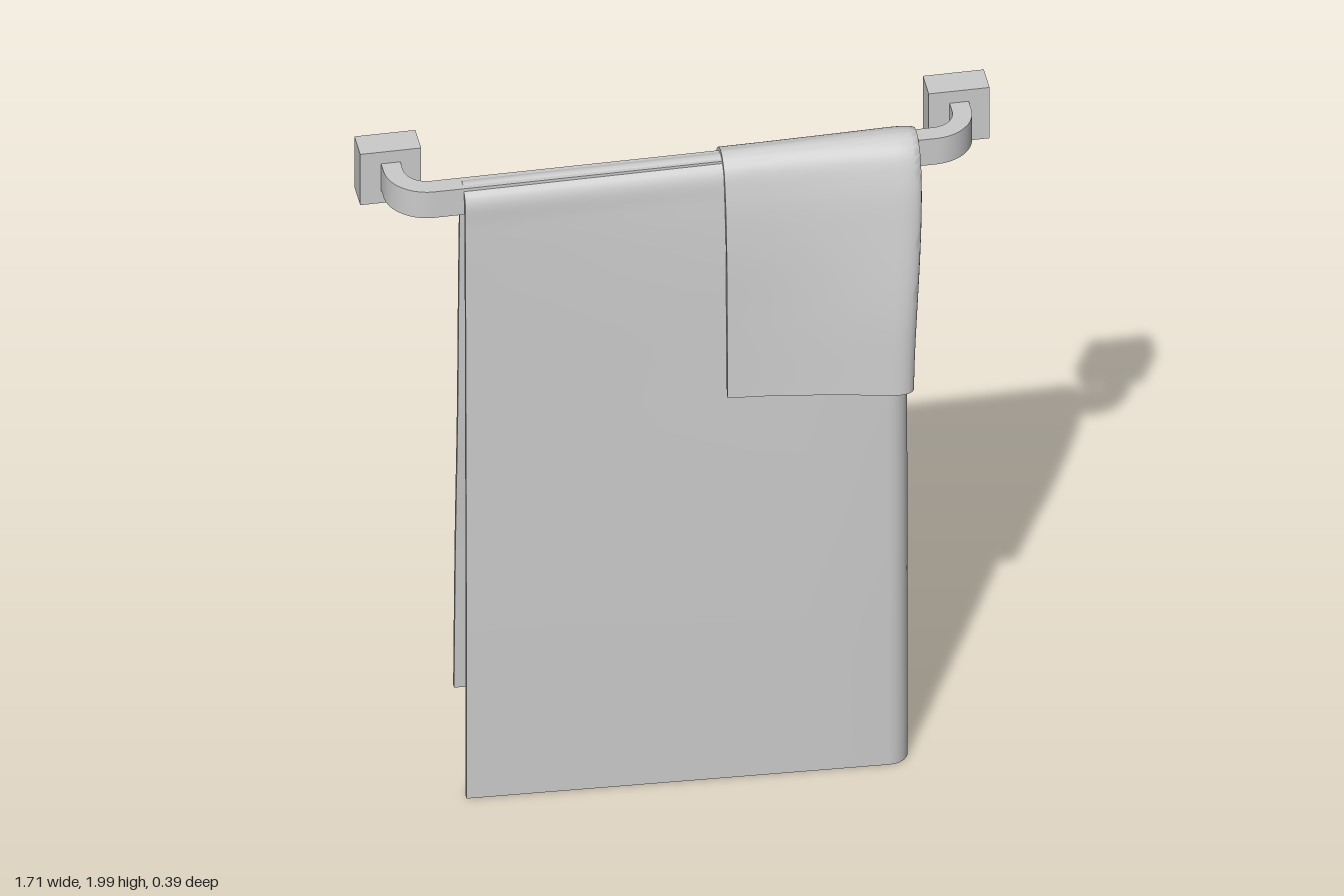
import * as THREE from 'three';
import { mergeGeometries, toCreasedNormals } from 'three/addons/utils/BufferGeometryUtils.js';

const material = new THREE.MeshStandardMaterial({ color: 0xcccccc, side: THREE.DoubleSide });

// Skin a list of equally long point rows.
function skin(rows, crease) {
  const n = rows[0].length;
  const index = [];
  for (let i = 0; i < rows.length - 1; i++) {
    for (let j = 0; j < n - 1; j++) {
      const a = i * n + j, d = a + n;
      index.push(a, a + 1, d + 1, a, d + 1, d);
    }
  }
  const geometry = new THREE.BufferGeometry().setFromPoints(rows.flat());
  geometry.setIndex(index);
  return toCreasedNormals(geometry, crease);
}

// Folded towel draped front to back. Each station holds [z, y] of the outer layer
// and inner layer at the folded edge, then of the middle at the open edge.
function towel(name, stations, { x0, foldX, radius, power, half }) {
  const curve = (k) => new THREE.CatmullRomCurve3(
    stations.map((s) => new THREE.Vector3(0, s[k + 1], s[k])));
  const [outer, inner, open] = [0, 2, 4].map(curve);

  // section of the fold: [fraction across, side of the middle from 1 to -1]
  const flat = [0, 0.2, 0.4, 0.6, 0.8].map((f) => f * (1 - radius));
  const section = [[0, 0], ...flat.map((f) => [f, 1])];
  for (let i = 0; i <= 12; i++) {
    const a = (Math.PI * i) / 12;
    section.push([1 - radius + radius * Math.sin(a), Math.cos(a)]);
  }
  section.push(...flat.reverse().map((f) => [f, -1]), [0, 0]);

  const row = (t, thickness) => {
    const o = outer.getPoint(t), i = inner.getPoint(t), m = open.getPoint(t);
    const foldMid = o.clone().add(i).multiplyScalar(0.5);
    const foldHalf = o.clone().sub(foldMid);
    const openHalf = foldHalf.clone().setLength(half);
    return section.map(([f, side]) => {
      const w = Math.pow(f, power);
      const p = m.clone().lerp(foldMid, w);
      p.addScaledVector(openHalf.clone().lerp(foldHalf, w), side * thickness);
      p.x = THREE.MathUtils.lerp(x0, foldX(p.y), f);
      return p;
    });
  };

  const steps = 72;
  const rows = [row(0, 0)]; // closed hem
  for (let k = 0; k <= steps; k++) rows.push(row(k / steps, 1));
  rows.push(row(1, 0));
  const mesh = new THREE.Mesh(skin(rows, 0.9), material);
  mesh.name = name;
  return mesh;
}

// Rectangular bar with both ends curving back to the wall.
function bar() {
  const y = 1.92, z = 0.013, r = 0.09, cx = 0.68, hw = 0.026, hh = 0.042;
  const path = [];
  const end = [[0.77, -0.115, Math.PI / 2]];
  for (let i = 0; i <= 10; i++) {
    const a = (Math.PI / 2) * (1 - i / 10);
    end.push([cx + r * Math.sin(a), z - r + r * Math.cos(a), a]);
  }
  path.push(...end);
  path.push(...end.map(([px, pz, a]) => [-px, pz, -a]).reverse());
  const corners = [[-1, -1], [-1, 1], [1, 1], [1, -1], [-1, -1]];
  const rows = path.map(([px, pz, a]) => corners.map(([u, v]) => new THREE.Vector3(
    px + u * hw * Math.sin(a), y + v * hh, pz + u * hw * Math.cos(a))));
  const mesh = new THREE.Mesh(skin(rows, 0.6), material);
  mesh.name = 'towelBar';
  return mesh;
}

// Square wall mount: four walls, open at the back, with an opening for the bar.
function mount(side) {
  const size = 0.165, depth = 0.085;
  const walls = new THREE.BoxGeometry(size, size, depth);
  walls.setIndex([...walls.index.array].slice(0, 24));
  const rectangle = (path, w, h) => path
    .moveTo(-w, -h).lineTo(w, -h).lineTo(w, h).lineTo(-w, h).closePath();
  const shape = rectangle(new THREE.Shape(), size / 2, size / 2);
  shape.holes.push(rectangle(new THREE.Path(), 0.026, 0.042));
  const plate = new THREE.ShapeGeometry(shape).translate(0, 0, depth / 2);
  const mesh = new THREE.Mesh(mergeGeometries([walls, plate]), material);
  mesh.name = side > 0 ? 'leftMount' : 'rightMount';
  mesh.position.set(side * 0.77, 1.917, -0.158);
  return mesh;
}

export function createModel() {
  const group = new THREE.Group();
  group.name = 'towelRack';
  group.add(bar(), mount(1), mount(-1));

  group.add(towel('bathTowel', [
    [0.13, 0.005, 0.015, 0.005, 0.07, 0.005],
    [0.127, 0.7, 0.012, 0.7, 0.068, 0.7],
    [0.115, 1.3, 0.01, 1.3, 0.06, 1.3],
    [0.1, 1.65, 0.013, 1.65, 0.056, 1.65],
    [0.078, 1.85, 0.038, 1.85, 0.052, 1.85],
    [0.058, 1.935, 0.042, 1.92, 0.048, 1.93],
    [0.015, 1.968, 0.013, 1.96, 0.013, 1.958],
    [-0.035, 1.94, -0.017, 1.92, -0.025, 1.93],
    [-0.055, 1.82, -0.008, 1.84, -0.03, 1.83],
    [-0.085, 1.6, 0, 1.6, -0.042, 1.6],
    [-0.115, 1.15, -0.001, 1.15, -0.06, 1.15],
    [-0.145, 0.75, -0.03, 0.75, -0.09, 0.75],
    [-0.175, 0.24, -0.075, 0.235, -0.113, 0.24],
  ], { x0: -0.6, foldX: () => 0.595, radius: 0.05, power: 1, half: 0.007 }));

  group.add(towel('handTowel', [
    [0.2, 1.245, 0.115, 1.245, 0.11, 1.245],
    [0.185, 1.5, 0.108, 1.5, 0.103, 1.5],
    [0.15, 1.72, 0.1, 1.7, 0.095, 1.72],
    [0.115, 1.88, 0.078, 1.86, 0.077, 1.87],
    [0.075, 1.962, 0.058, 1.935, 0.055, 1.945],
    [0.02, 1.985, 0.015, 1.968, 0.015, 1.972],
    [-0.045, 1.955, -0.035, 1.94, -0.037, 1.945],
    [-0.085, 1.83, -0.06, 1.83, -0.068, 1.83],
    [-0.12, 1.65, -0.085, 1.65, -0.095, 1.65],
    [-0.15, 1.47, -0.107, 1.46, -0.11, 1.47],
    [-0.175, 1.28, -0.125, 1.28, -0.135, 1.28],
  ], {
    x0: 0.1,
    foldX: (y) => 0.597 + 0.033 * THREE.MathUtils.smoothstep(y, 1.2, 1.95),
    radius: 0.13, power: 1.4, half: 0.007,
  }));
  return group;
}
